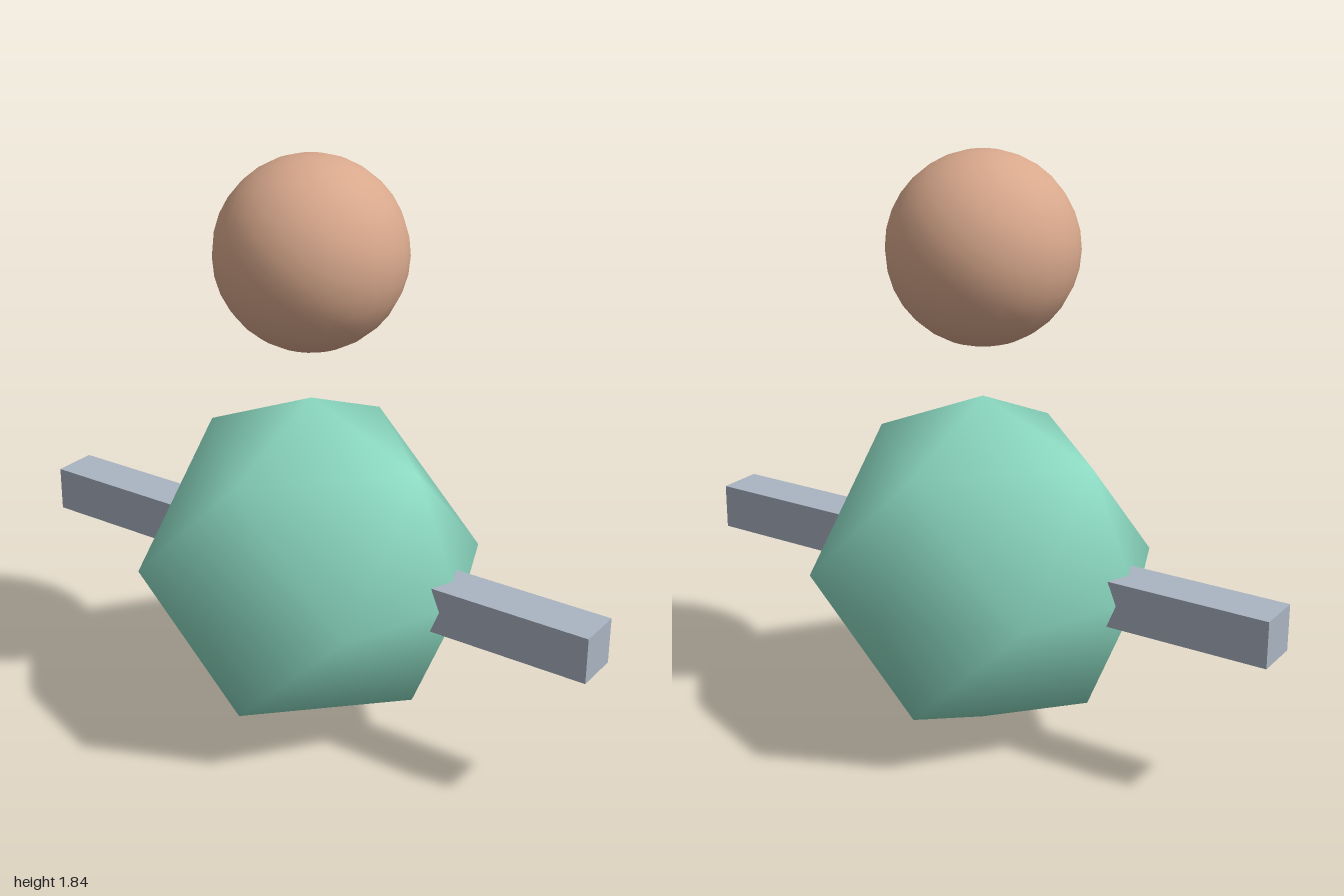
import * as THREE from 'three';

export function createModel() {
  const group = new THREE.Group();
  const mint = new THREE.MeshStandardMaterial({ color: 0x8bd8c0 });
  mint.name = 'mint';
  const peach = new THREE.MeshStandardMaterial({ color: 0xd8a88c });
  peach.name = 'peach';
  const steel = new THREE.MeshStandardMaterial({ color: 0xaab4c2 });
  steel.name = 'steel';

  const add = (name, geometry, material, y) => {
    const mesh = new THREE.Mesh(geometry, material);
    mesh.name = name;
    mesh.position.y = y;
    group.add(mesh);
  };

  const bodyRadius = 0.5455;
  // Coarse body with smooth normals
  add('body', new THREE.OctahedronGeometry(bodyRadius, 1), mint, bodyRadius);
  // Square bar running through the body from side to side
  add('crossbar', new THREE.BoxGeometry(2, 0.1455, 0.1455), steel, bodyRadius);
  // Ball floating above
  add('head', new THREE.SphereGeometry(0.291, 24, 16), peach, bodyRadius + 1);

  return group;
}
